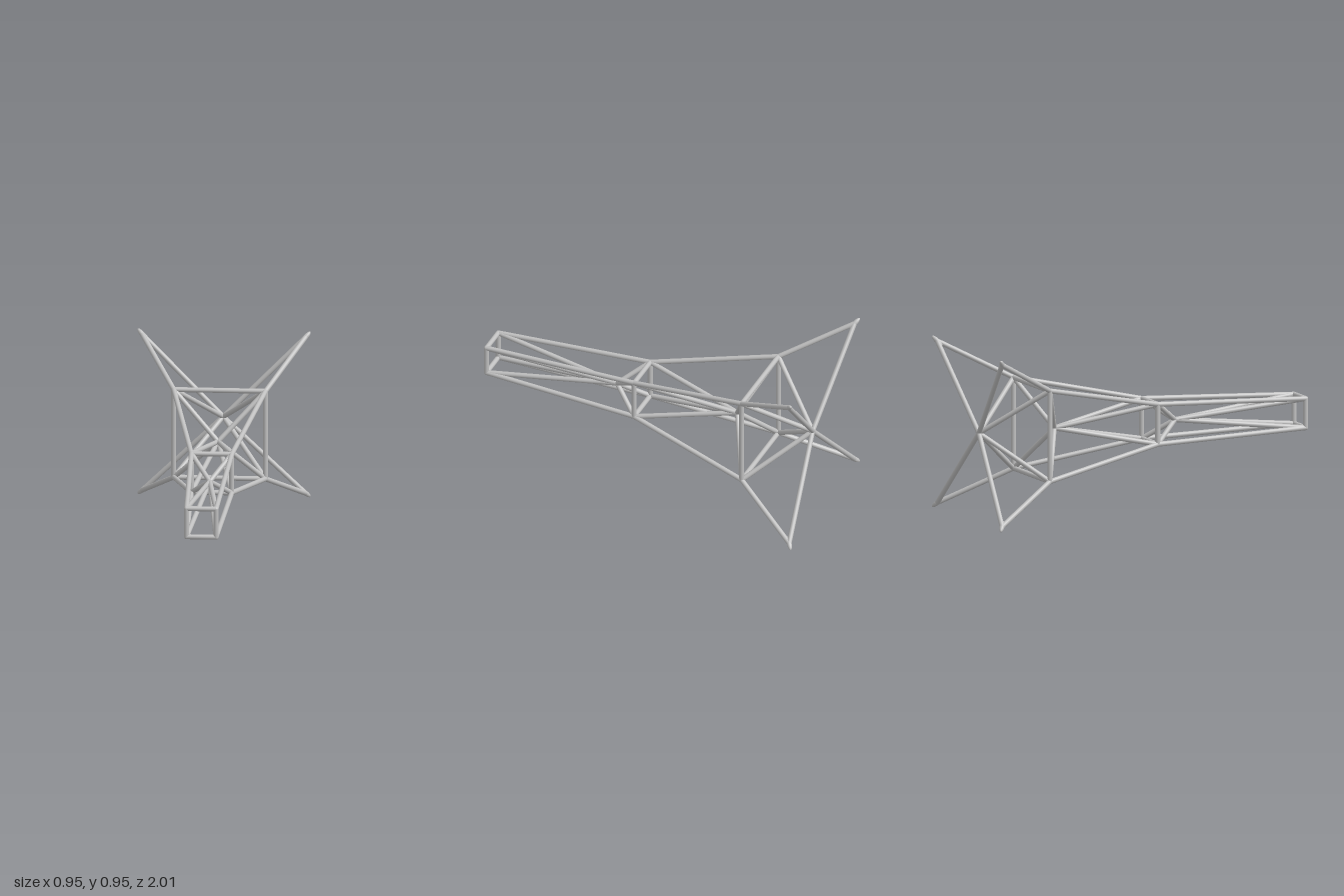
import * as THREE from 'three';

const RADIUS = 0.0138;
const SIDES = 16;
const CENTRE_Y = 0.4775;
const UP = new THREE.Vector3(0, 1, 0);

export function createModel() {
  const model = new THREE.Group();
  model.name = 'latticeFrame';
  const steel = new THREE.MeshStandardMaterial({ color: 0xc0c0c0 });
  steel.name = 'light grey steel';

  function group(name) {
    const g = new THREE.Group();
    g.name = name;
    model.add(g);
    return g;
  }

  // One straight round rod between two points
  function rod(name, a, b, parent) {
    const along = new THREE.Vector3().subVectors(b, a);
    const mesh = new THREE.Mesh(
      new THREE.CylinderGeometry(RADIUS, RADIUS, along.length(), SIDES), steel);
    mesh.name = name;
    mesh.position.copy(a).add(b).multiplyScalar(0.5);
    mesh.quaternion.setFromUnitVectors(UP, along.normalize());
    parent.add(mesh);
  }

  // Rounded joint at a node, drawn out to a point along a direction
  function joint(name, at, direction, length, parent) {
    const mesh = new THREE.Mesh(new THREE.SphereGeometry(RADIUS, SIDES, 12), steel);
    mesh.name = name;
    mesh.position.copy(at);
    mesh.scale.y = length / RADIUS;
    mesh.quaternion.setFromUnitVectors(UP, direction);
    parent.add(mesh);
  }

  // Four corners of a square section, and points on the long axis
  const square = (half, z) => [[1, 1], [-1, 1], [-1, -1], [1, -1]].map(
    ([sx, sy]) => new THREE.Vector3(sx * half, CENTRE_Y + sy * half, z));
  const hub = z => new THREE.Vector3(0, CENTRE_Y, z);

  const sections = [
    square(0.081, 0.986),
    square(0.111, 0.09),
    square(0.252, -0.615),
    square(0.449, -0.985),
  ];
  const hubs = [hub(0.24), hub(-0.48), hub(-0.93)];

  // Square frames on the first three sections; the last has free tips
  const frames = group('squareFrames');
  sections.slice(0, 3).forEach(c => c.forEach((p, i) => {
    rod('frameBar', p, c[(i + 1) % 4], frames);
    joint('frameCorner', p, UP, RADIUS, frames);
  }));

  // Corner rails, with braces from both ends of each bay to its hub
  const rails = group('cornerRails');
  const braces = group('hubBraces');
  hubs.forEach((h, bay) => {
    for (let i = 0; i < 4; i++) {
      const front = sections[bay][i], back = sections[bay + 1][i];
      rod('cornerRail', front, back, rails);
      rod('frontBrace', front, h, braces);
      rod('backBrace', back, h, braces);
    }
  });

  // Pointed tips where the last rails meet their braces
  const tips = group('pointedTips');
  sections[3].forEach((p, i) => {
    const alongRail = p.clone().sub(sections[2][i]).normalize();
    const alongBrace = p.clone().sub(hubs[2]).normalize();
    joint('tip', p, alongRail.add(alongBrace).normalize(), 0.041, tips);
  });

  return model;
}
